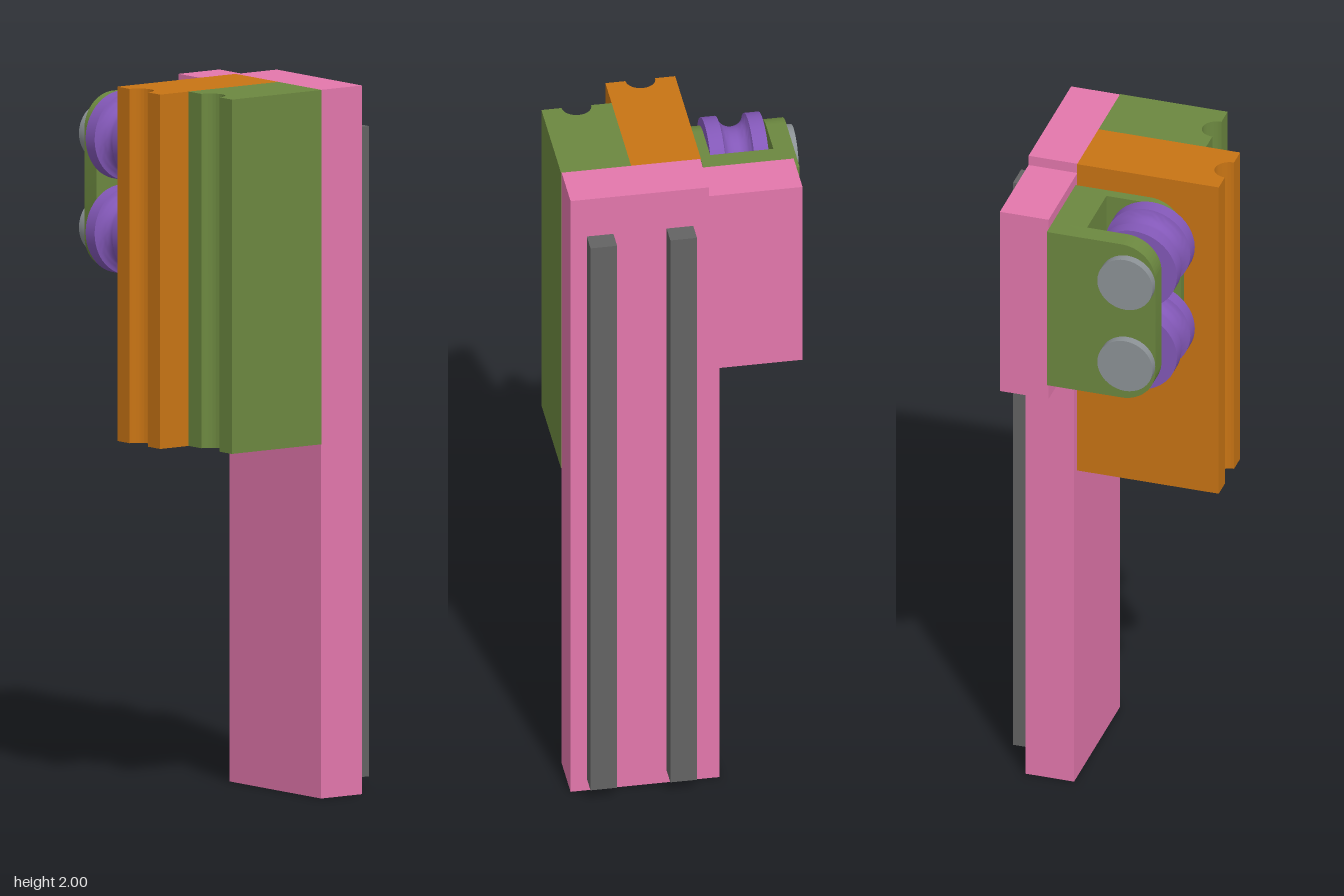
import * as THREE from 'three';
import { toCreasedNormals } from 'three/addons/utils/BufferGeometryUtils.js';

const material = (color) => new THREE.MeshStandardMaterial({ color });
const pink = material(0xe377ac);
const green = material(0x6c8840);
const orange = material(0xc87414);
const purple = material(0x8358b8);
const darkGrey = material(0x636363);
const steel = material(0x8c9296);

function add(parent, name, geometry, mat) {
  const mesh = new THREE.Mesh(toCreasedNormals(geometry, 0.6), mat);
  mesh.name = name;
  parent.add(mesh);
  return mesh;
}

// Box given by its lower and upper limits on each axis
function box(x0, x1, y0, y1, z0, z1) {
  return new THREE.BoxGeometry(x1 - x0, y1 - y0, z1 - z0)
    .translate((x0 + x1) / 2, (y0 + y1) / 2, (z0 + z1) / 2);
}

const extrude = (shape, depth) =>
  new THREE.ExtrudeGeometry(shape, { depth, bevelEnabled: false, curveSegments: 24 });

// Upright block with a half-round groove down its -x face
function groovedBlock(x0, z0, z1, grooveZ) {
  const r = 0.042;
  const shape = new THREE.Shape();
  shape.moveTo(x0, z0);
  shape.lineTo(0.105, z0);
  shape.lineTo(0.105, z1);
  shape.lineTo(x0, z1);
  shape.lineTo(x0, grooveZ + r);
  shape.absarc(x0, grooveZ, r, Math.PI / 2, -Math.PI / 2, true);
  shape.closePath();
  return extrude(shape, 1).rotateX(Math.PI / 2).translate(0, 2, 0);
}

// Bracket cheek with rounded outer corners
function cheek(z0, z1) {
  const x0 = -0.213, x1 = 0.105, y0 = 1.44, y1 = 1.94, r = 0.1;
  const shape = new THREE.Shape();
  shape.moveTo(x1, y0);
  shape.lineTo(x1, y1);
  shape.lineTo(x0 + r, y1);
  shape.absarc(x0 + r, y1 - r, r, Math.PI / 2, Math.PI, false);
  shape.lineTo(x0, y0 + r);
  shape.absarc(x0 + r, y0 + r, r, Math.PI, Math.PI * 1.5, false);
  shape.closePath();
  return extrude(shape, z1 - z0).translate(0, 0, z0);
}

// Pulley wheel turned about z, with a concave rope groove
function pulleyGeometry() {
  const R = 0.1245, half = 0.0825, grooveR = 0.0415, grooveCentre = 0.132;
  const profile = [[0.03, -half], [R, -half]];
  const a = Math.acos((grooveCentre - R) / grooveR);
  for (let i = 0; i <= 16; i++) {
    const t = -a + (2 * a * i) / 16;
    profile.push([grooveCentre - grooveR * Math.cos(t), grooveR * Math.sin(t)]);
  }
  profile.push([R, half], [0.03, half]);
  return new THREE.LatheGeometry(profile.map(([x, y]) => new THREE.Vector2(x, y)), 48)
    .rotateX(Math.PI / 2);
}

// Round pin along z
const pin = (r, z0, z1) => new THREE.CylinderGeometry(r, r, z1 - z0, 40)
  .rotateX(Math.PI / 2).translate(0, 0, (z0 + z1) / 2);

export function createModel() {
  const model = new THREE.Group();
  model.name = 'pulleyMount';

  // Back plate with a side arm, outlined in (-z, y)
  const outline = [[-0.348, 0], [0.075, 0], [0.075, 1.385], [0.31, 1.385],
    [0.31, 1.97], [0.045, 1.97], [0.045, 2], [-0.348, 2]];
  const plate = new THREE.Shape(outline.map(([x, y]) => new THREE.Vector2(x, y)));
  add(model, 'mountingPlate', extrude(plate, 0.143).rotateY(Math.PI / 2).translate(0.105, 0, 0), pink);

  // Two rails on the plate
  for (const z of [0, 0.2265]) {
    add(model, 'rail', box(0.248, 0.308, 0.04, 1.875, z, z + 0.0755), darkGrey);
  }

  // Grooved guide blocks
  add(model, 'longGuideBlock', groovedBlock(-0.31, -0.047, 0.151, 0.052), orange);
  add(model, 'shortGuideBlock', groovedBlock(-0.21, 0.151, 0.35, 0.251), green);

  // U-shaped wheel bracket
  const bracket = new THREE.Group();
  bracket.name = 'wheelBracket';
  add(bracket, 'rearCheek', cheek(-0.327, -0.27), green);
  add(bracket, 'frontCheek', cheek(-0.091, -0.061), green);
  add(bracket, 'bracketWeb', box(0.005, 0.105, 1.44, 1.94, -0.27, -0.091), green);
  model.add(bracket);

  // Two pulleys, each on a headed axle
  for (const y of [1.825, 1.56]) {
    const pulley = new THREE.Group();
    pulley.name = 'pulleyAssembly';
    pulley.position.set(-0.132, y, 0);
    add(pulley, 'pulleyWheel', pulleyGeometry(), purple).position.z = -0.1815;
    add(pulley, 'axle', pin(0.041, -0.3, -0.08), steel);
    add(pulley, 'axleHead', pin(0.081, -0.352, -0.327), steel);
    model.add(pulley);
  }
  return model;
}
